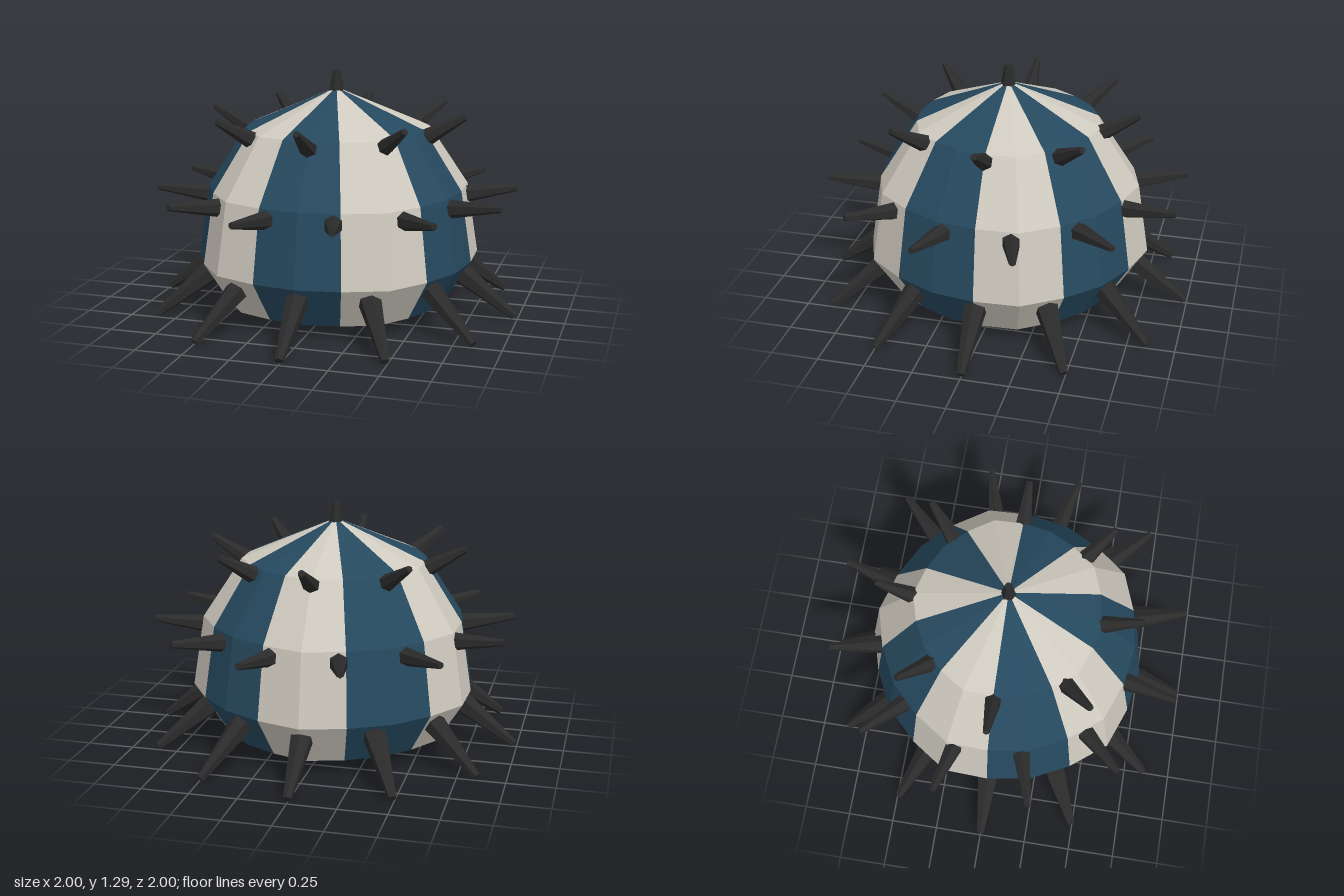
import * as THREE from 'three';

const cream = new THREE.MeshStandardMaterial({ color: 0xcfcabf, flatShading: true });
cream.name = 'cream';
const blue = new THREE.MeshStandardMaterial({ color: 0x26495f, flatShading: true });
blue.name = 'deepBlue';
const dark = new THREE.MeshStandardMaterial({ color: 0x2b2b2b, flatShading: true });
dark.name = 'charcoal';

// Shell profile from the tip down: [radius, height]
const PROFILE = [[0, 1.21], [0.483, 1.0], [0.685, 0.685], [0.744, 0.305], [0.605, 0.08], [0.42, 0.022]];
const STEP = Math.PI / 10;

// One stripe: two facets wide, its middle ridge pushed out by the bulge factor
function stripeGeometry(middle, bulge) {
  const pos = [];
  const point = ([r, y], side) => {
    const a = middle + side * STEP;
    const k = side === 0 ? bulge : 1;
    return [r * k * Math.sin(a), y, r * k * Math.cos(a)];
  };
  for (let i = 0; i < PROFILE.length - 1; i++) {
    for (const s of [-1, 0]) {
      const tl = point(PROFILE[i], s), tr = point(PROFILE[i], s + 1);
      const bl = point(PROFILE[i + 1], s), br = point(PROFILE[i + 1], s + 1);
      pos.push(...tl, ...bl, ...br);
      if (i > 0) pos.push(...tl, ...br, ...tr);
    }
  }
  const g = new THREE.BufferGeometry();
  g.setAttribute('position', new THREE.Float32BufferAttribute(pos, 3));
  g.computeVertexNormals();
  return g;
}

// Tapered six-sided spike between two points
function spike(name, from, to, baseRadius, tipRadius) {
  const dir = to.clone().sub(from);
  const g = new THREE.CylinderGeometry(tipRadius, baseRadius, dir.length(), 6);
  const mesh = new THREE.Mesh(g, dark);
  mesh.name = name;
  mesh.position.copy(from).add(to).multiplyScalar(0.5);
  mesh.quaternion.setFromUnitVectors(new THREE.Vector3(0, 1, 0), dir.normalize());
  return mesh;
}

// Ring of spikes: built facing +z, then turned into place
function spikeRing(name, count, offset, base, tip, baseRadius, tipRadius) {
  const ring = new THREE.Group();
  ring.name = name;
  for (let i = 0; i < count; i++) {
    const holder = new THREE.Group();
    holder.name = name + 'Holder';
    holder.rotation.y = offset + (i / count) * Math.PI * 2;
    holder.add(spike('spike', new THREE.Vector3(0, base[1], base[0]),
      new THREE.Vector3(0, tip[1], tip[0]), baseRadius, tipRadius));
    ring.add(holder);
  }
  return ring;
}

export function createModel() {
  const model = new THREE.Group();
  model.name = 'spikyStripedShell';

  // Alternating stripes, blue at the front
  const shell = new THREE.Group();
  shell.name = 'shell';
  for (let i = 0; i < 10; i++) {
    const isBlue = i % 2 === 0;
    const stripe = new THREE.Mesh(stripeGeometry(i * 2 * STEP, isBlue ? 1 : 1.038), isBlue ? blue : cream);
    stripe.name = isBlue ? 'blueStripe' : 'creamStripe';
    shell.add(stripe);
  }
  model.add(shell);

  // Flat underside
  const underside = new THREE.Mesh(new THREE.CircleGeometry(0.425, 20), cream);
  underside.name = 'underside';
  underside.rotation.x = Math.PI / 2;
  underside.position.y = 0.021;
  model.add(underside);

  // Spikes
  model.add(spike('topSpike', new THREE.Vector3(0, 1.16, 0), new THREE.Vector3(0, 1.3, 0), 0.045, 0.02));
  model.add(spikeRing('upperSpikes', 8, 0, [0.47, 0.95], [0.695, 1.08], 0.05, 0.018));
  model.add(spikeRing('middleSpikes', 12, Math.PI / 12, [0.64, 0.625], [0.97, 0.665], 0.055, 0.018));
  model.add(spikeRing('lowerSpikes', 12, 0, [0.67, 0.26], [0.985, 0.025], 0.065, 0.022));
  return model;
}
